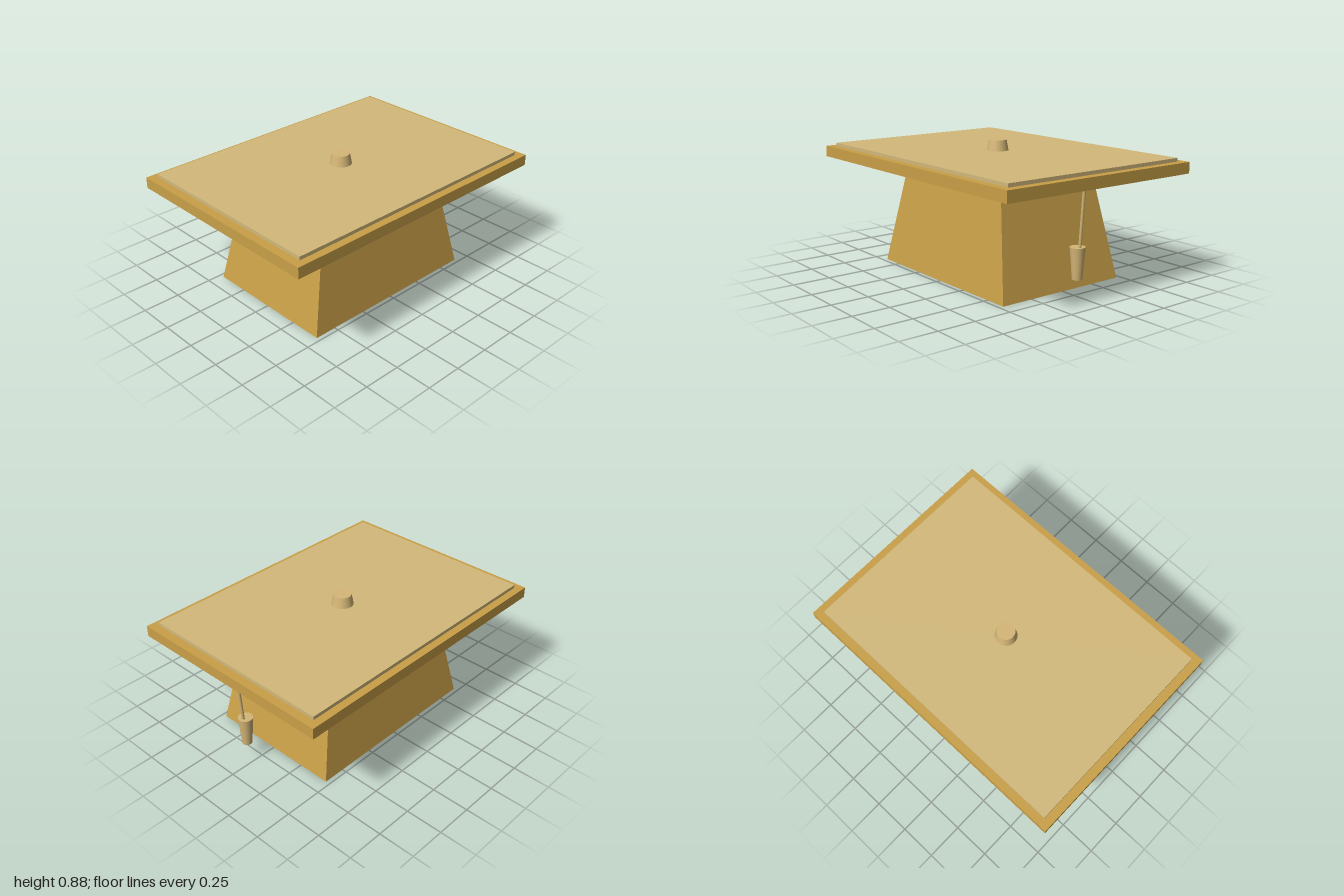
import * as THREE from 'three';

const gold = new THREE.MeshStandardMaterial({ name: 'gold', color: 0xc9a048 });
const paleGold = new THREE.MeshStandardMaterial({ name: 'pale gold', color: 0xd3b97b });
const trimGold = new THREE.MeshStandardMaterial({ name: 'trim gold', color: 0xd5b676 });

function addPart(group, name, geometry, material, x, y, z) {
  const mesh = new THREE.Mesh(geometry, material);
  mesh.name = name;
  mesh.position.set(x, y, z);
  group.add(mesh);
  return mesh;
}

// Box whose upper face is scaled to a smaller width and depth
function taperedBox(bottomW, bottomD, topW, topD, height) {
  const geometry = new THREE.BoxGeometry(bottomW, height, bottomD).toNonIndexed();
  const p = geometry.attributes.position;
  for (let i = 0; i < p.count; i++) {
    if (p.getY(i) > 0) {
      p.setX(i, p.getX(i) * topW / bottomW);
      p.setZ(i, p.getZ(i) * topD / bottomD);
    }
  }
  geometry.computeVertexNormals();
  return geometry;
}

export function createModel() {
  const model = new THREE.Group();
  model.name = 'graduationCap';

  // Skull cap and the square board above it
  addPart(model, 'capBase', taperedBox(1.3, 0.94, 1.0, 0.74, 0.7), gold, 0, 0.35, 0);
  addPart(model, 'board', new THREE.BoxGeometry(2, 0.073, 1.45), gold, 0, 0.7455, 0);
  addPart(model, 'boardPanel', new THREE.BoxGeometry(1.89, 0.024, 1.35), paleGold, 0, 0.793, 0);

  // Centre button
  addPart(model, 'button', new THREE.CylinderGeometry(0.059, 0.072, 0.07, 24), trimGold, 0, 0.84, 0);

  // Tassel: leaning cord with a tapered end
  const tassel = new THREE.Group();
  tassel.name = 'tassel';
  const top = new THREE.Vector3(0.876, 0.73, 0.047);
  const bottom = new THREE.Vector3(0.843, 0.31, 0.047);
  const middle = top.clone().add(bottom).multiplyScalar(0.5);
  const cord = addPart(tassel, 'tasselCord',
    new THREE.CylinderGeometry(0.01, 0.01, top.distanceTo(bottom), 12), trimGold,
    middle.x, middle.y, middle.z);
  cord.quaternion.setFromUnitVectors(new THREE.Vector3(0, 1, 0), top.sub(bottom).normalize());
  addPart(tassel, 'tasselEnd', new THREE.CylinderGeometry(0.048, 0.032, 0.2, 20), trimGold, 0.826, 0.23, 0.047);
  model.add(tassel);

  return model;
}
